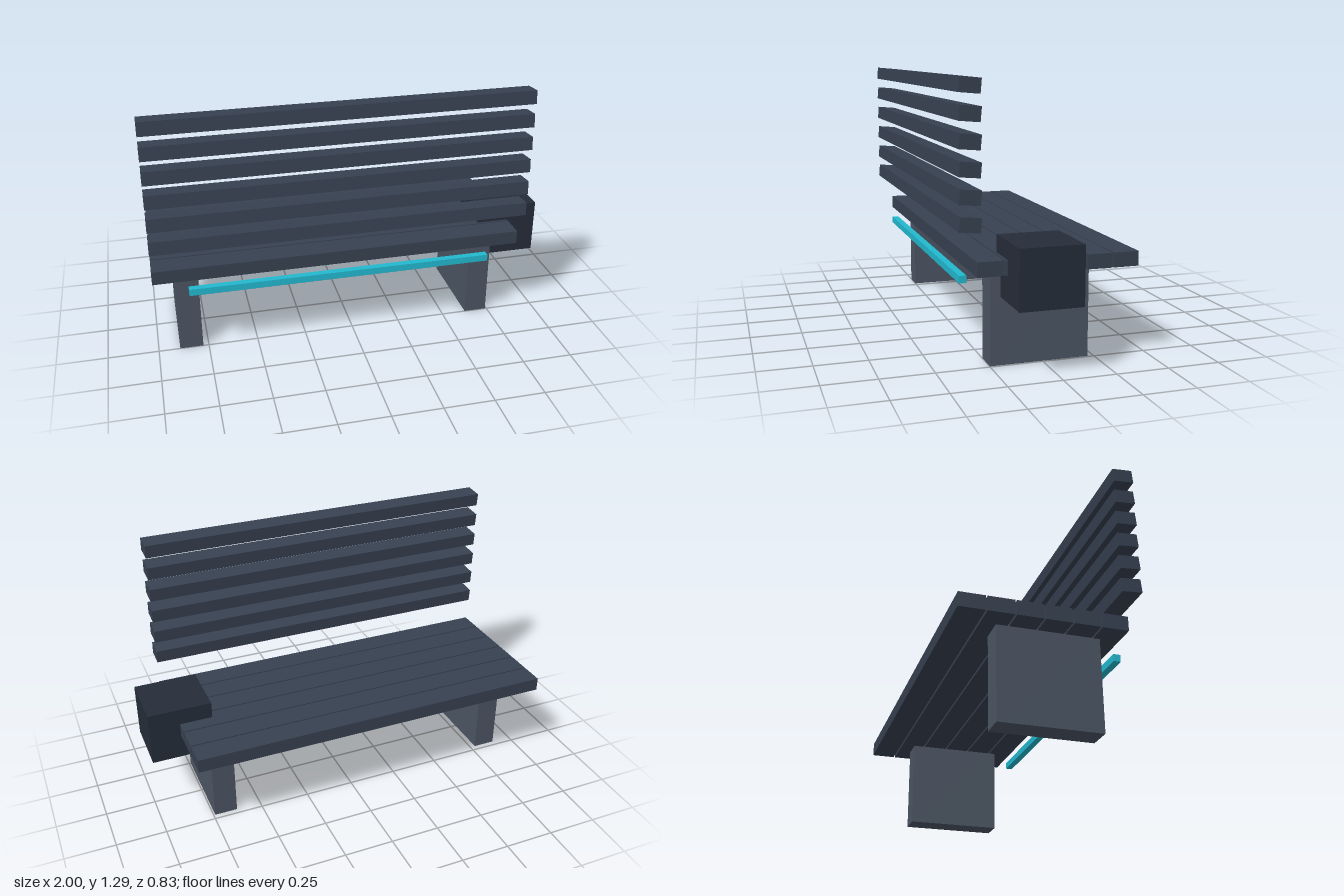
import * as THREE from 'three';

export function createModel() {
  const model = new THREE.Group();
  model.name = 'bench';

  const paint = (color) => new THREE.MeshStandardMaterial({ color });
  const slatPaint = paint(0x374151);
  const legPaint = paint(0x4b5563);
  const boxPaint = paint(0x252c38);
  const lightPaint = paint(0x22b8cf);

  // Box given by its size and centre
  function addBox(name, size, centre, material, parent = model) {
    const mesh = new THREE.Mesh(new THREE.BoxGeometry(...size), material);
    mesh.name = name;
    mesh.position.set(...centre);
    parent.add(mesh);
    return mesh;
  }

  const slatLength = 1.848;
  const slatX = -0.076;

  // Seat: six flat planks with narrow gaps
  const seat = new THREE.Group();
  seat.name = 'seat';
  model.add(seat);
  for (let i = 0; i < 6; i++) {
    addBox('seatSlat', [slatLength, 0.068, 0.119], [slatX, 0.471, -0.356 + i * 0.1267], slatPaint, seat);
  }

  // Backrest: six slats stacked upright, each tipped slightly
  const backrest = new THREE.Group();
  backrest.name = 'backrest';
  model.add(backrest);
  for (let i = 0; i < 6; i++) {
    const slat = addBox('backSlat', [slatLength, 0.066, 0.096], [slatX, 0.666 + i * 0.117, 0.366], slatPaint, backrest);
    slat.rotation.x = -0.087;
  }

  // Slab legs, mirrored about the middle of the seat
  for (const side of [-1, 1]) {
    addBox('leg', [0.116, 0.47, 0.47], [slatX + side * 0.76, 0.235, 0.014], legPaint);
  }

  // Block at the end of the seat
  addBox('endBox', [0.315, 0.272, 0.294], [0.8425, 0.451, 0.053], boxPaint);

  // Light strip under the seat edge
  addBox('lightStrip', [1.51, 0.034, 0.034], [slatX, 0.391, 0.355], lightPaint);

  return model;
}
